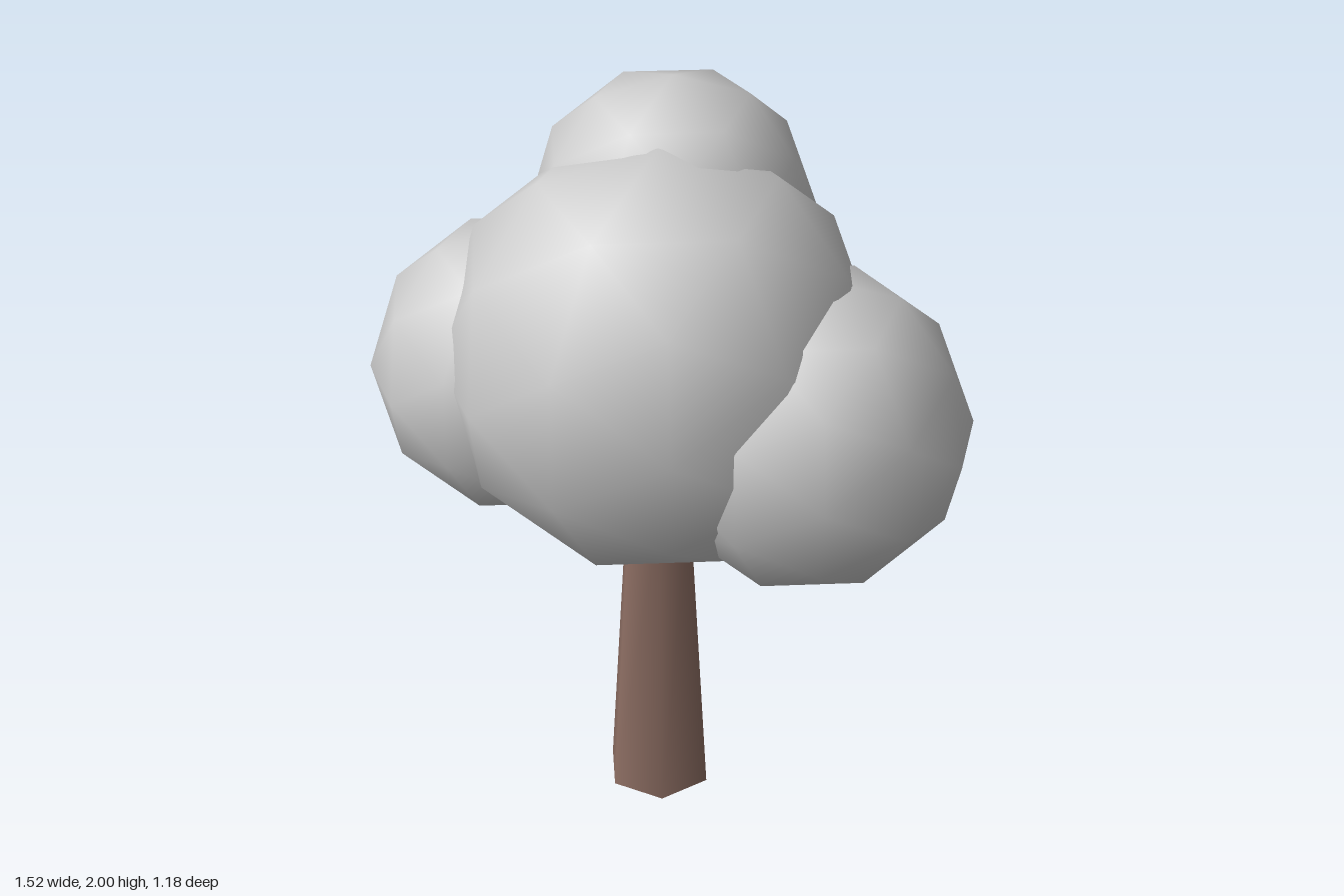
import * as THREE from 'three';

export function createModel() {
  const tree = new THREE.Group();
  tree.name = 'tree';
  const bark = new THREE.MeshStandardMaterial({ color: 0x8d6e63 });
  const foliage = new THREE.MeshStandardMaterial({ color: 0xcccccc });

  // Tapered six-sided trunk, its top buried in the crown
  const height = 0.9;
  const trunk = new THREE.Mesh(new THREE.CylinderGeometry(0.092, 0.147, height, 6), bark);
  trunk.name = 'trunk';
  trunk.position.set(-0.026, height / 2, 0);
  tree.add(trunk);

  // Crown: overlapping smooth-shaded, low-poly leaf clumps
  const clumps = [
    ['mainFoliage', 0.565, -0.026, 1.34, 0],
    ['leftFoliage', 0.42, 0.34, 1.21, 0.17],
    ['rightFoliage', 0.392, -0.373, 1.235, -0.152],
    ['topFoliage', 0.37, 0.022, 1.63, -0.22],
  ];
  const crown = new THREE.Group();
  crown.name = 'crown';
  for (const [name, radius, x, y, z] of clumps) {
    const clump = new THREE.Mesh(new THREE.IcosahedronGeometry(radius, 1), foliage);
    clump.name = name;
    clump.position.set(x, y, z);
    crown.add(clump);
  }
  tree.add(crown);
  return tree;
}
